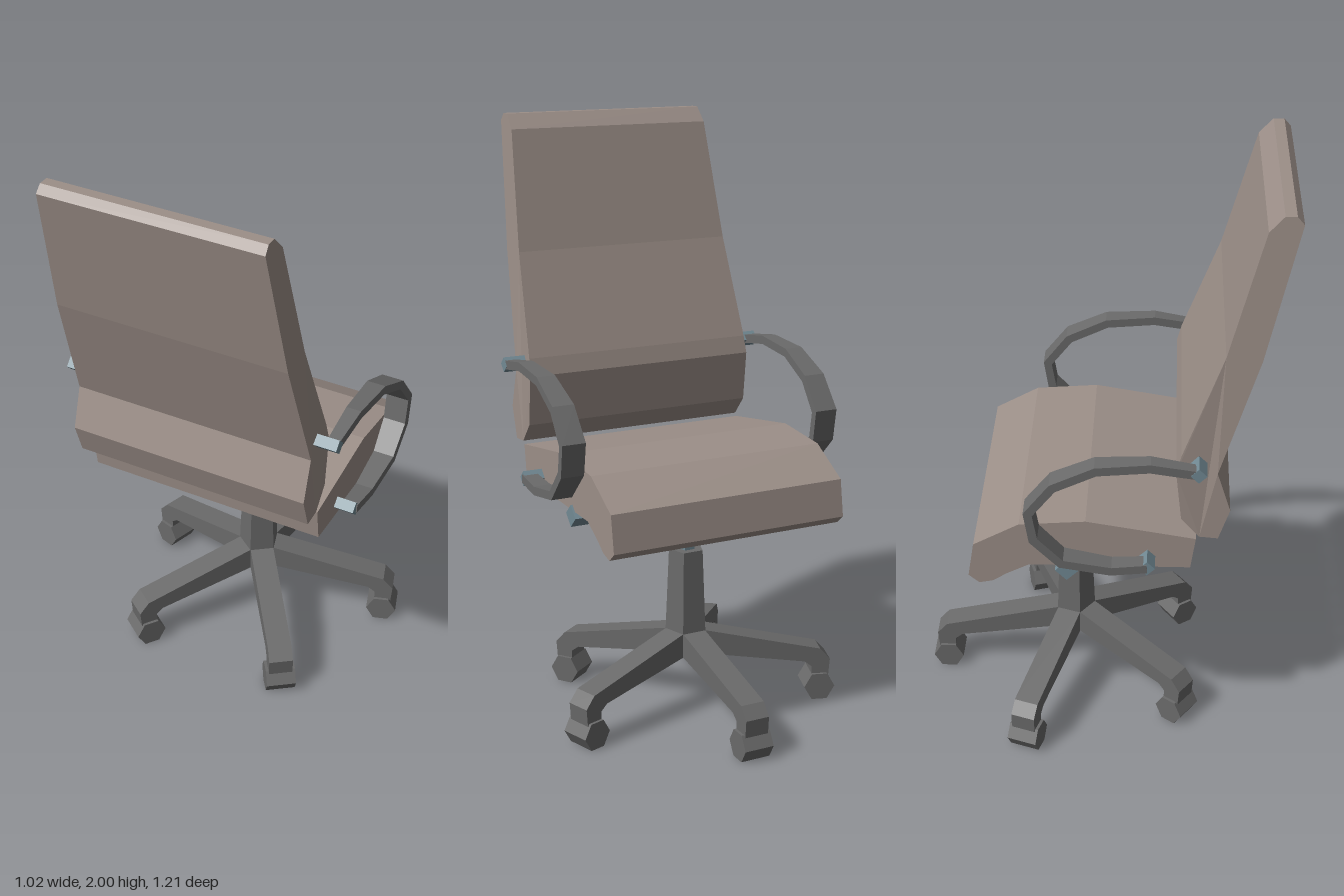
import * as THREE from 'three';

const mat = (color) => new THREE.MeshStandardMaterial({ color, flatShading: true });
const BASE_Z = -0.087; // axis of the column and star base

// Solid with a side profile of [z, y] points; halfWidth(z, y) sets its extent in x.
function slab(profile, halfWidth) {
  const shape = new THREE.Shape(profile.map(([z, y]) => new THREE.Vector2(z, y)));
  const geo = new THREE.ExtrudeGeometry(shape, { depth: 2, bevelEnabled: false });
  geo.translate(0, 0, -1).rotateY(-Math.PI / 2);
  const p = geo.attributes.position;
  for (let i = 0; i < p.count; i++) p.setX(i, p.getX(i) * halfWidth(p.getZ(i), p.getY(i)));
  geo.computeVertexNormals();
  return geo;
}

// Closed outline of a strip of constant thickness along a path.
function ribbon(path, thickness) {
  const outer = [], inner = [];
  path.forEach(([z, y], i) => {
    const a = path[Math.max(i - 1, 0)], b = path[Math.min(i + 1, path.length - 1)];
    const dz = b[0] - a[0], dy = b[1] - a[1], s = thickness / 2 / Math.hypot(dz, dy);
    outer.push([z - dy * s, y + dz * s]);
    inner.unshift([z + dy * s, y - dz * s]);
  });
  return [...outer, ...inner];
}

// Regular polygon profile with a corner pointing along z.
const polygon = (n, r, z, y) => Array.from({ length: n }, (_, i) => {
  const a = (i / n) * Math.PI * 2;
  return [z + r * Math.cos(a), y + r * Math.sin(a)];
});

export function createModel() {
  const group = new THREE.Group();
  const fabric = mat(0x9c8f88), frame = mat(0x6a6a6a), steel = mat(0x728a94);
  const add = (name, geo, material, parent = group) => {
    const mesh = new THREE.Mesh(geo, material);
    mesh.name = name;
    parent.add(mesh);
    return mesh;
  };

  // Cushions: the backrest narrows above its lumbar bend
  add('backrest', slab([
    [0.607, 1.975], [0.585, 2], [0.55, 2], [0.505, 1.95], [0.40, 1.545], [0.275, 1.2], [0.26, 1.14],
    [0.28, 0.965], [0.34, 0.895], [0.40, 0.89], [0.435, 1.0], [0.39, 1.14], [0.51, 1.535],
  ], (z, y) => 0.42 - 0.053 * Math.max(0, (y - 1.14) / 0.86)), fabric);

  add('seat', slab([
    [0.33, 0.885], [-0.025, 0.943], [-0.24, 0.925], [-0.39, 0.84], [-0.41, 0.715],
    [-0.375, 0.685], [-0.33, 0.695], [-0.285, 0.725], [-0.21, 0.765], [0.315, 0.77],
  ], () => 0.42), fabric);

  // Armrests: a curved strip, widest at the front, on two pins
  const armPath = [
    [0.33, 1.175], [0.18, 1.2], [0.01, 1.188], [-0.125, 1.125], [-0.203, 1.025],
    [-0.187, 0.925], [-0.1, 0.832], [0.06, 0.802], [0.175, 0.812],
  ];
  const armGeo = slab(ribbon(armPath, 0.03), (z) => 0.04 - 0.02 * (z + 0.2) / 0.53);
  for (const side of [1, -1]) {
    const arm = new THREE.Group();
    arm.name = side > 0 ? 'leftArmrest' : 'rightArmrest';
    add('armStrip', armGeo, frame, arm).position.x = side * 0.466;
    for (const [z, y] of [armPath[0], armPath[armPath.length - 1]])
      add('armPin', slab(polygon(4, 0.026, z, y), () => 0.039), steel, arm).position.x = side * 0.449;
    group.add(arm);
  }

  // Support under the seat
  add('crossbar', slab(polygon(4, 0.038, BASE_Z, 0.748), () => 0.427), steel);
  add('stem', new THREE.CylinderGeometry(0.031, 0.031, 0.18, 5), steel).position.set(0, 0.65, BASE_Z);
  add('column', new THREE.CylinderGeometry(0.061, 0.073, 0.29, 5), frame).position.set(0, 0.425, BASE_Z);

  // Five-legged base with hexagonal casters
  const legGeo = slab([
    [0, 0.28], [0.059, 0.28], [0.468, 0.185], [0.503, 0.145], [0.498, 0.085],
    [0.438, 0.085], [0.438, 0.12], [0.413, 0.14], [0, 0.203],
  ], () => 0.042);
  const casterGeo = slab(polygon(6, 0.054, 0.465, 0.0468), () => 0.052);
  for (let i = 0; i < 5; i++) {
    const spoke = new THREE.Group();
    spoke.name = 'baseLeg' + (i + 1);
    spoke.position.z = BASE_Z;
    spoke.rotation.y = Math.PI + (i * Math.PI * 2) / 5;
    add('leg', legGeo, frame, spoke);
    add('caster', casterGeo, frame, spoke);
    group.add(spoke);
  }
  return group;
}
